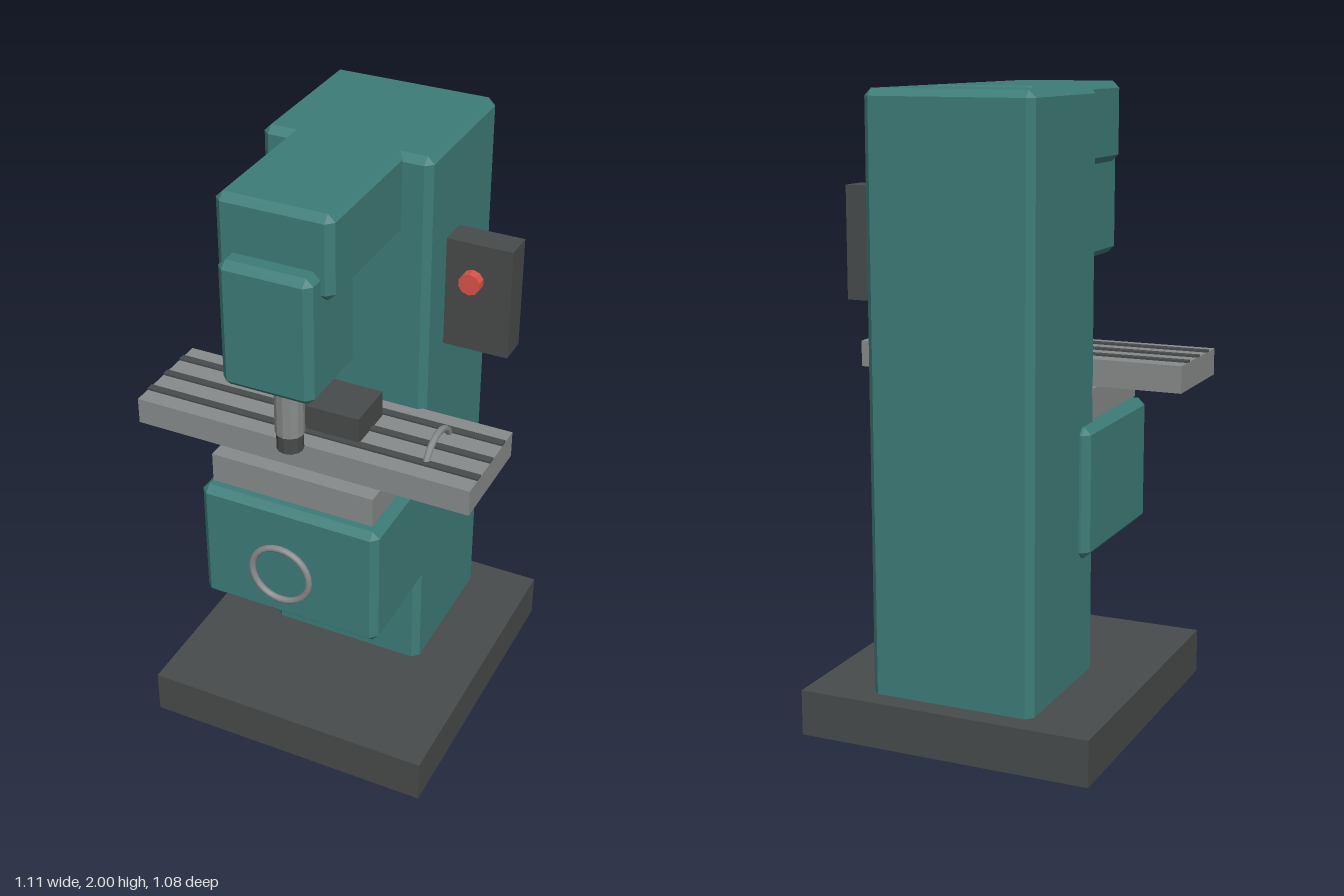
import * as THREE from 'three';
import { ConvexGeometry } from 'three/addons/geometries/ConvexGeometry.js';

const material = (name, color) => {
  const m = new THREE.MeshStandardMaterial({ color });
  m.name = name;
  return m;
};

export function createModel() {
  const teal = material('teal paint', 0x3d7c78);
  const dark = material('dark grey', 0x484b4b);
  const steel = material('steel grey', 0x888b8b);
  const red = material('red', 0xd9534a);

  const model = new THREE.Group();
  model.name = 'millingMachine';

  const add = (name, geometry, mat, x = 0, y = 0, z = 0) => {
    const mesh = new THREE.Mesh(geometry, mat);
    mesh.name = name;
    mesh.position.set(x, y, z);
    model.add(mesh);
    return mesh;
  };

  // Sharp box given by its ranges along x, y and z
  const box = (name, mat, [x0, x1], [y0, y1], [z0, z1]) =>
    add(name, new THREE.BoxGeometry(x1 - x0, y1 - y0, z1 - z0), mat,
      (x0 + x1) / 2, (y0 + y1) / 2, (z0 + z1) / 2);

  // Box with every edge chamfered: three points at each corner
  const chamferBox = (name, mat, [x0, x1], [y0, y1], [z0, z1], c = 0.022) => {
    const half = [(x1 - x0) / 2, (y1 - y0) / 2, (z1 - z0) / 2];
    const points = [];
    for (const sx of [-1, 1]) for (const sy of [-1, 1]) for (const sz of [-1, 1]) {
      for (let axis = 0; axis < 3; axis++) {
        const [px, py, pz] = half.map((h, i) => (i === axis ? h : h - c));
        points.push(new THREE.Vector3(sx * px, sy * py, sz * pz));
      }
    }
    return add(name, new ConvexGeometry(points), mat,
      (x0 + x1) / 2, (y0 + y1) / 2, (z0 + z1) / 2);
  };

  // Base and painted castings
  box('base', dark, [-0.48, 0.48], [0, 0.147], [-0.54, 0.485]);
  chamferBox('column', teal, [-0.27, 0.27], [0.11, 1.995], [-0.47, 0.03]);
  chamferBox('ram', teal, [-0.18, 0.18], [1.74, 2], [-0.25, 0.476]);
  chamferBox('head', teal, [-0.145, 0.145], [1.43, 1.83], [0.255, 0.54]);
  chamferBox('knee', teal, [-0.3, 0.3], [0.54, 0.96], [-0.1, 0.435]);

  // Spindle
  const quill = new THREE.CylinderGeometry(0.045, 0.045, 0.24, 12).toNonIndexed();
  quill.computeVertexNormals();
  add('quill', quill, steel, 0, 1.35, 0.398);
  const chuck = new THREE.CylinderGeometry(0.041, 0.041, 0.06, 12).toNonIndexed();
  chuck.computeVertexNormals();
  add('chuck', chuck, dark, 0, 1.203, 0.398);

  // Saddle and table with its slots
  box('saddle', steel, [-0.27, 0.27], [0.968, 1.066], [0.004, 0.4]);
  box('table', steel, [-0.555, 0.555], [1.072, 1.158], [0.02, 0.355]);
  for (const z of [0.09, 0.188, 0.284]) {
    box('tableSlot', dark, [-0.555, 0.555], [1.157, 1.164], [z - 0.013, z + 0.013]);
  }
  box('vise', dark, [-0.038, 0.165], [1.158, 1.245], [0.108, 0.278]);

  // Handwheels
  const wheel = new THREE.TorusGeometry(0.097, 0.011, 8, 28);
  add('kneeHandwheel', wheel, steel, 0, 0.75, 0.482);
  add('tableHandwheel', wheel, steel, 0.384, 1.112, 0.19).rotation.y = Math.PI / 2;

  // Control box with stop button
  box('controlBox', dark, [0.26, 0.48], [1.33, 1.69], [-0.197, -0.102]);
  const button = new THREE.CylinderGeometry(0.035, 0.035, 0.04, 10).toNonIndexed();
  button.computeVertexNormals();
  add('stopButton', button, red, 0.358, 1.57, -0.09).rotation.x = Math.PI / 2;

  return model;
}
